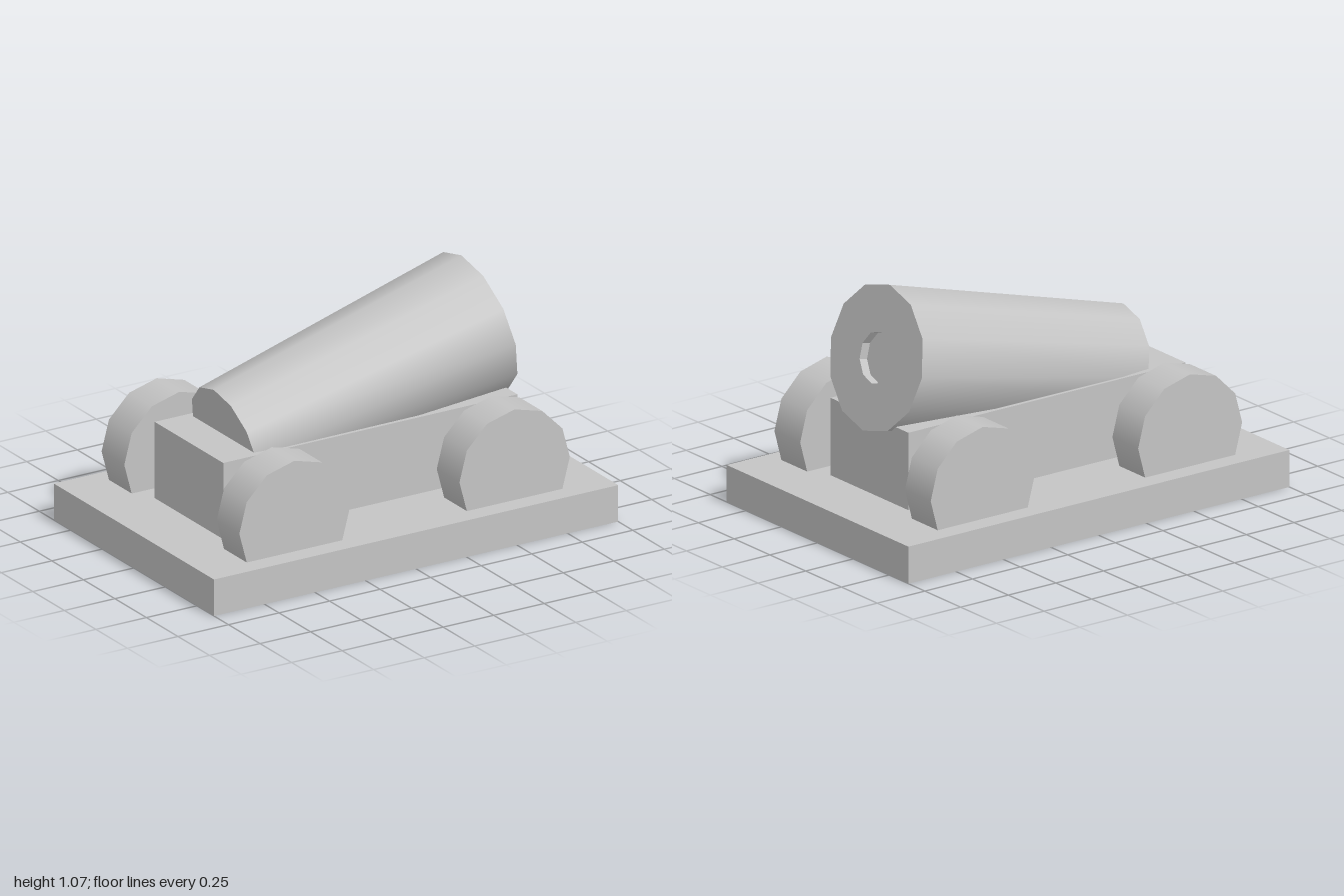
import * as THREE from 'three';

const iron = new THREE.MeshStandardMaterial({ color: 0xc4c4c4 });
iron.name = 'grey iron';

function addPart(parent, name, geometry, x = 0, y = 0, z = 0) {
  const mesh = new THREE.Mesh(geometry, iron);
  mesh.name = name;
  mesh.position.set(x, y, z);
  parent.add(mesh);
  return mesh;
}

// Corners of a regular polygon with one corner on the x axis
function polygon(radius, sides) {
  return Array.from({ length: sides }, (_, i) => {
    const a = (i / sides) * Math.PI * 2;
    return new THREE.Vector2(Math.cos(a) * radius, Math.sin(a) * radius);
  });
}

// Tapered barrel built along +y from the breech, then tilted
function createBarrel() {
  const barrel = new THREE.Group();
  barrel.name = 'barrel';
  const length = 1.272, breechR = 0.25, muzzleR = 0.318;
  const boreR = 0.113, boreDepth = 0.04;

  addPart(barrel, 'barrelWall',
    new THREE.CylinderGeometry(muzzleR, breechR, length, 12, 1, true), 0, length / 2);
  addPart(barrel, 'breechEnd', new THREE.CircleGeometry(breechR, 12).rotateX(Math.PI / 2));

  // Muzzle face with a ten-sided hole
  const face = new THREE.Shape(polygon(muzzleR, 12));
  face.holes.push(new THREE.Path(polygon(boreR, 10)));
  addPart(barrel, 'muzzleFace', new THREE.ShapeGeometry(face).rotateX(-Math.PI / 2), 0, length);

  // Shallow bore, running inward from the rim to the floor
  const boreProfile = [[boreR, 0], [boreR, -boreDepth], [0, -boreDepth]]
    .map(([r, y]) => new THREE.Vector2(r, y));
  const bore = new THREE.LatheGeometry(boreProfile, 10, Math.PI / 2).toNonIndexed();
  bore.computeVertexNormals();
  addPart(barrel, 'bore', bore, 0, length);

  barrel.position.set(-0.55, 0.478, 0);
  barrel.rotation.z = THREE.MathUtils.degToRad(12.75 - 90);
  return barrel;
}

export function createModel() {
  const model = new THREE.Group();
  model.name = 'cannon';

  addPart(model, 'base', new THREE.BoxGeometry(2, 0.165, 1.27), 0, 0.0825);
  addPart(model, 'carriage', new THREE.BoxGeometry(1.455, 0.36, 0.544), 0, 0.33);

  // Four wheels sunk into the base
  const wheel = new THREE.CylinderGeometry(0.273, 0.273, 0.18, 12).rotateX(Math.PI / 2);
  for (const x of [-0.546, 0.543]) {
    for (const z of [-0.456, 0.456]) addPart(model, 'wheel', wheel, x, 0.302, z);
  }

  model.add(createBarrel());
  return model;
}
